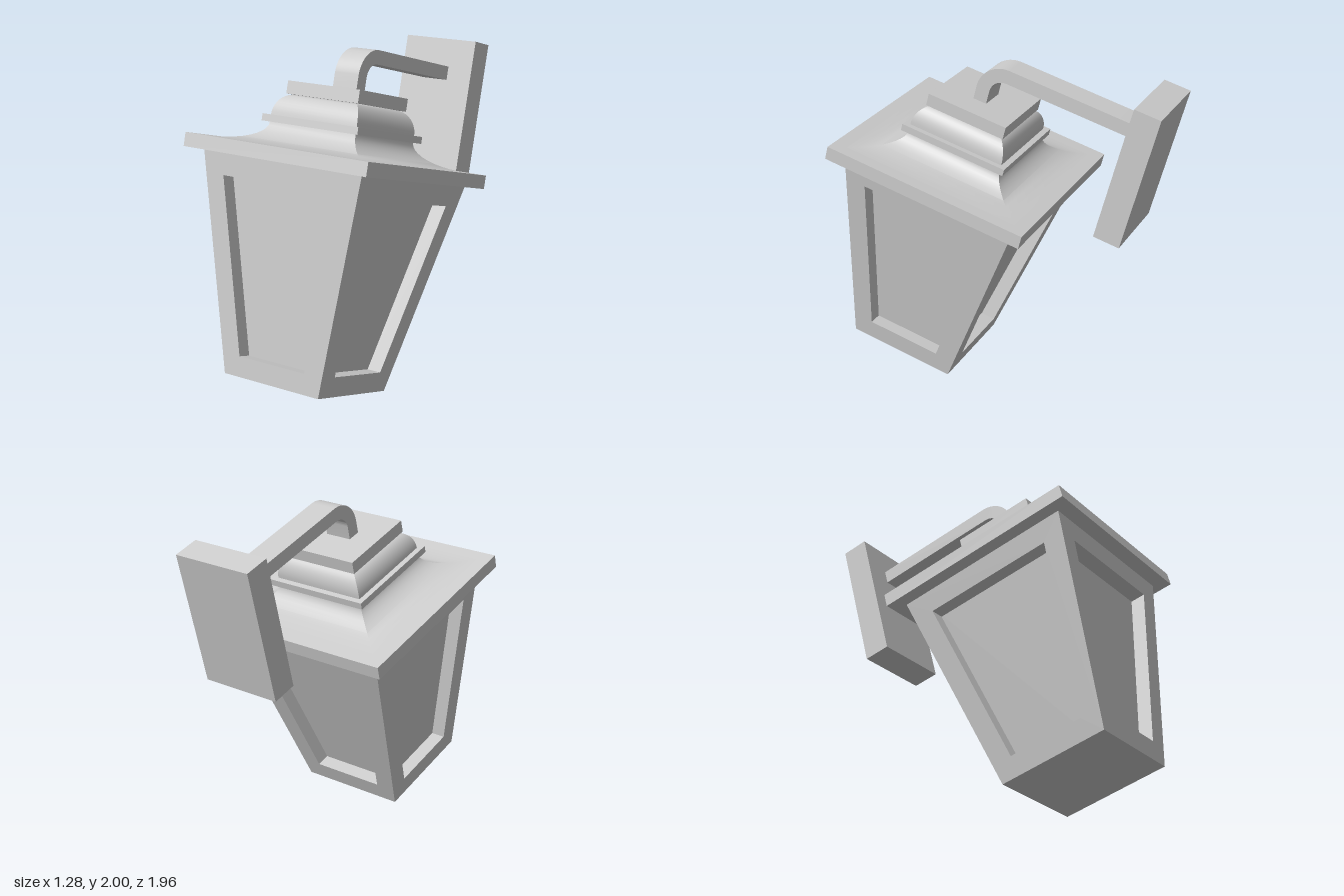
import * as THREE from 'three';
import { toCreasedNormals } from 'three/addons/utils/BufferGeometryUtils.js';

const material = new THREE.MeshStandardMaterial({ color: 0xcccccc });
const BODY = { bottom: 0.34, top: 0.555, height: 1.28 };
const SLOPE = (BODY.top - BODY.bottom) / BODY.height;
const DEPTH = 0.09;

function part(name, geometry) {
  const mesh = new THREE.Mesh(toCreasedNormals(geometry, 0.5), material);
  mesh.name = name;
  return mesh;
}

// Box given by half width, half depth, bottom, top and z centre
function slab(name, hx, hz, y0, y1, z = 0) {
  return part(name, new THREE.BoxGeometry(hx * 2, y1 - y0, hz * 2).translate(0, (y0 + y1) / 2, z));
}

// Square-plan loft through [half width, height] points, listed upwards
function squareLoft(name, points) {
  const profile = points.map(([r, y]) => new THREE.Vector2(r * Math.SQRT2, y));
  return part(name, new THREE.LatheGeometry(profile, 4, Math.PI / 4));
}

// Quarter-ellipse profile from t = 0 to 1
function quarter(fn, n = 10) {
  return Array.from({ length: n + 1 }, (_, i) => fn((i / n) * Math.PI / 2));
}

// Tapered window frame: holed trapezoid, leaned outwards and mitred at the corners
function frameGeometry() {
  const trapezoid = (target, r0, y0, r1, y1) => {
    target.moveTo(-r0, y0);
    target.lineTo(r0, y0);
    target.lineTo(r1, y1);
    target.lineTo(-r1, y1);
    target.closePath();
    return target;
  };
  const shape = trapezoid(new THREE.Shape(), BODY.bottom, 0, BODY.top, BODY.height);
  shape.holes.push(trapezoid(new THREE.Path(), 0.235, 0.123, 0.405, 1.153));
  const geometry = new THREE.ExtrudeGeometry(shape, { depth: DEPTH, bevelEnabled: false });
  const pos = geometry.attributes.position;
  for (let i = 0; i < pos.count; i++) {
    const x = pos.getX(i), z = pos.getZ(i);
    const half = BODY.bottom + SLOPE * pos.getY(i);
    if (z < DEPTH / 2 && Math.abs(x) > half - 0.01) pos.setX(i, Math.sign(x) * (half - DEPTH));
    pos.setZ(i, z - DEPTH + half);
  }
  return geometry;
}

// Flat bar that rises from the cap, bends and runs back to the wall plate
function armGeometry() {
  const shape = new THREE.Shape();
  shape.moveTo(-0.0425, 1.74);
  shape.lineTo(-0.0425, 1.83);
  shape.absarc(0.1325, 1.83, 0.175, Math.PI, Math.PI / 2, true);
  shape.lineTo(0.945, 2.005);
  shape.lineTo(0.945, 1.92);
  shape.lineTo(0.1325, 1.92);
  shape.absarc(0.1325, 1.83, 0.09, Math.PI / 2, Math.PI, false);
  shape.lineTo(0.0425, 1.74);
  shape.closePath();
  return new THREE.ExtrudeGeometry(shape, { depth: 0.17, bevelEnabled: false, curveSegments: 14 })
    .translate(0, 0, -0.085)
    .rotateY(Math.PI / 2);
}

export function createModel() {
  const lamp = new THREE.Group();
  lamp.name = 'wallLantern';

  // Glass core and four window frames
  lamp.add(squareLoft('glassPanes', [
    [0, 0], [BODY.bottom - DEPTH, 0], [BODY.top - DEPTH, BODY.height], [0, BODY.height],
  ]));
  for (let i = 0; i < 4; i++) {
    const frame = part('windowFrame', frameGeometry());
    frame.rotation.y = i * Math.PI / 2;
    lamp.add(frame);
  }

  // Stepped roof
  lamp.add(slab('eaves', 0.64, 0.64, 1.283, 1.365));
  lamp.add(squareLoft('flaredRoof',
    quarter(t => [0.555 - 0.25 * Math.sin(t), 1.495 - 0.13 * Math.cos(t)])));
  lamp.add(slab('collar', 0.34, 0.34, 1.495, 1.537));
  lamp.add(squareLoft('dome',
    quarter(t => [0.215 + 0.09 * Math.cos(t), 1.537 + 0.133 * Math.sin(t)])));
  lamp.add(slab('cap', 0.255, 0.255, 1.67, 1.747));

  // Wall mount
  lamp.add(part('arm', armGeometry()));
  lamp.add(slab('wallPlate', 0.255, 0.083, 1.327, 2.18, -1.023));

  // The whole lantern leans back
  lamp.rotation.x = -Math.PI / 12;
  lamp.position.set(0, 0.09, 0.6525);

  const model = new THREE.Group();
  model.add(lamp);
  return model;
}
